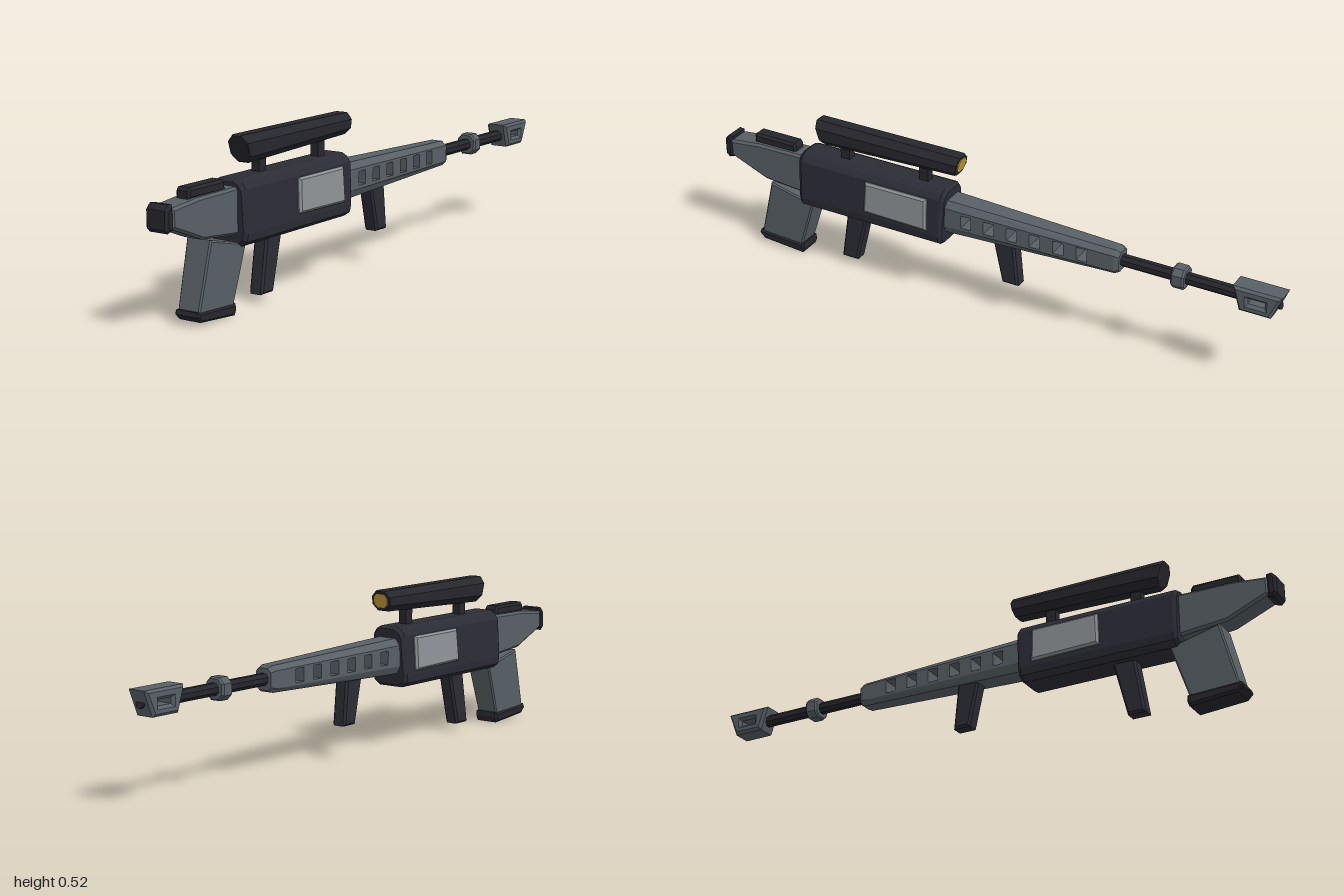
import * as THREE from 'three';

const mat = (name, color, extra = {}) => {
  const m = new THREE.MeshStandardMaterial({ color, flatShading: true, ...extra });
  m.name = name;
  return m;
};

// Side profile given as [z, y] points, extruded across x with chamfered edges.
// taper(z, y) scales the width.
function plate(points, halfWidth, bevel, { holes = [], taper } = {}) {
  const toVec = (list) => list.map(([z, y]) => new THREE.Vector2(z, y));
  const shape = new THREE.Shape(toVec(points));
  holes.forEach((h) => shape.holes.push(new THREE.Path(toVec(h))));
  const geo = new THREE.ExtrudeGeometry(shape, {
    depth: 2 * (halfWidth - bevel), bevelEnabled: bevel > 0, bevelSegments: 1,
    bevelSize: bevel, bevelThickness: bevel, bevelOffset: -bevel,
  });
  geo.translate(0, 0, -(halfWidth - bevel)).rotateY(-Math.PI / 2);
  if (taper) {
    const p = geo.attributes.position;
    for (let i = 0; i < p.count; i++) p.setX(i, p.getX(i) * taper(p.getZ(i), p.getY(i)));
    geo.computeVertexNormals();
  }
  return geo;
}

// Skin over cross-sections ordered from -z to +z, each anticlockwise seen from +z
function loft(rings) {
  const v = [];
  const tri = (a, b, c) => v.push(...a, ...b, ...c);
  const n = rings[0].length;
  for (let r = 0; r + 1 < rings.length; r++) {
    for (let i = 0; i < n; i++) {
      const j = (i + 1) % n;
      tri(rings[r][i], rings[r][j], rings[r + 1][j]);
      tri(rings[r][i], rings[r + 1][j], rings[r + 1][i]);
    }
  }
  const first = rings[0], last = rings[rings.length - 1];
  for (let i = 1; i + 1 < n; i++) {
    tri(first[0], first[i + 1], first[i]);
    tri(last[0], last[i], last[i + 1]);
  }
  const geo = new THREE.BufferGeometry();
  geo.setAttribute('position', new THREE.Float32BufferAttribute(v, 3));
  geo.computeVertexNormals();
  return geo;
}

// Symmetric cross-section from its right half, listed bottom to top as [x, y];
// z runs from zBottom to zTop so that ends can slant
function ring(half, zBottom, zTop = zBottom) {
  const y0 = half[0][1], y1 = half[half.length - 1][1];
  const at = (x, y) => [x, y, zBottom + ((zTop - zBottom) * (y - y0)) / (y1 - y0)];
  return [...half.map(([x, y]) => at(x, y)), ...[...half].reverse().map(([x, y]) => at(-x, y))];
}

const octagon = (w, y0, y1, c) => [[w - c, y0], [w, y0 + c], [w, y1 - c], [w - c, y1]];
const rect = (z0, z1, y0, y1) => [[z0, y0], [z1, y0], [z1, y1], [z0, y1]];

export function createModel() {
  const model = new THREE.Group();
  model.name = 'model';
  const body = mat('bodyDark', 0x2c2c36);
  const black = mat('trimDark', 0x26262d);
  const grey = mat('steelGrey', 0x586066);
  const light = mat('panelGrey', 0x8d9195);
  const gold = mat('lensGold', 0xc49a3a);

  const add = (name, geo, material) => {
    const mesh = new THREE.Mesh(geo, material);
    mesh.name = name;
    model.add(mesh);
    return mesh;
  };

  // Receiver with chamfered ends
  const section = [[0.045, 0.2], [0.066, 0.215], [0.07, 0.24], [0.062, 0.37], [0.05, 0.388], [0.03, 0.398]];
  const inset = section.map(([x, y]) => [x * 0.88, 0.3 + (y - 0.3) * 0.92]);
  add('receiver', loft([ring(inset, 0.145, 0.135), ring(section, 0.157, 0.147),
    ring(section, 0.675), ring(inset, 0.687)]), body);

  // Raised side panels, leaning with the receiver walls
  for (const side of [1, -1]) {
    const panel = add(side > 0 ? 'leftPanel' : 'rightPanel',
      plate([[0.195, 0.253], [0.43, 0.257], [0.425, 0.365], [0.195, 0.365]], 0.011, 0.007), light);
    panel.geometry.translate(0, -0.31, 0);
    panel.position.set(side * 0.0655, 0.31, 0);
    panel.rotation.z = side * 0.062;
  }

  // Stock, butt pad and cheek rest
  add('stock', plate([[0.67, 0.235], [0.84, 0.25], [0.975, 0.305], [0.975, 0.363], [0.86, 0.375], [0.67, 0.378]],
    0.041, 0.008), grey);
  add('buttPad', plate([[0.968, 0.3], [0.988, 0.293], [1, 0.305], [1, 0.36], [0.985, 0.376], [0.968, 0.374]],
    0.041, 0.009), black);
  add('cheekRest', plate([[0.72, 0.37], [0.885, 0.37], [0.885, 0.395], [0.878, 0.405], [0.727, 0.405], [0.72, 0.395]],
    0.026, 0.008), black);

  // Magazine and its base
  add('magazine', plate([[0.71, 0.02], [0.868, 0.035], [0.815, 0.245], [0.65, 0.205]], 0.045, 0.005,
    { taper: (z, y) => 0.86 + 0.14 * Math.min(1, y / 0.24) }), grey);
  add('magazineBase', plate([[0.705, 0.005], [0.86, 0], [0.878, 0.03], [0.873, 0.044], [0.7, 0.036], [0.698, 0.018]]
    .map(([z, y]) => [z, y < 0.006 ? (z > 0.8 ? 0.012 : 0) : y]), 0.045, 0.007), black);

  // Rear and forward grips
  add('rearGrip', plate([[0.495, 0.025], [0.555, 0.025], [0.525, 0.215], [0.448, 0.215]], 0.025, 0.007), body);
  add('frontGrip', plate([[-0.114, 0.108], [-0.056, 0.108], [-0.022, 0.26], [-0.099, 0.26]], 0.025, 0.007), body);

  // Handguard: pierced band between two tapered caps, with a chamfered nose
  const zBack = 0.15, zNose = -0.452;
  const width = (z) => 0.037 + (0.013 * (z - zNose)) / (zBack - zNose);
  const vents = [];
  for (let i = 0; i < 6; i++) {
    const z = 0.062 - i * 0.0812;
    vents.push(rect(z - 0.018, z + 0.018, 0.284, 0.328));
  }
  add('handguardBand', plate([[zNose, 0.278], [zBack, 0.272], [zBack, 0.34], [zNose, 0.332]], 1, 0,
    { holes: vents, taper: (z) => width(z) }), grey);
  const cap = (z, yA, yB, top) => {
    const w = width(z);
    return ring(top ? [[w, yA], [w - 0.017, yB]] : [[w - 0.014, yB], [w, yA]], z);
  };
  add('handguardTop', loft([cap(zNose, 0.332, 0.346, true), cap(zBack, 0.34, 0.362, true)]), grey);
  add('handguardBottom', loft([cap(zNose, 0.278, 0.264, false), cap(zBack, 0.272, 0.246, false)]), grey);
  const nose = [[0.023, 0.264], [0.037, 0.278], [0.037, 0.332], [0.02, 0.346]];
  add('handguardNose', loft([ring(nose.map(([x, y]) => [x * 0.8, 0.305 + (y - 0.305) * 0.82]), -0.467),
    ring(nose, zNose)]), grey);

  // Barrel and its collar
  const rod = (r, z0, z1) => new THREE.CylinderGeometry(r, r, z1 - z0, 8)
    .rotateY(Math.PI / 8).rotateX(Math.PI / 2).translate(0, 0.305, (z0 + z1) / 2);
  add('barrel', rod(0.02, -0.87, -0.44), black);
  add('collar', loft([[0.03, -0.684], [0.035, -0.678], [0.035, -0.646], [0.03, -0.64]]
    .map(([r, z]) => ring(octagon(r, 0.305 - r, 0.305 + r, r * 0.5), z))), grey);

  // Muzzle brake with a side slot and dark bore
  add('muzzleBrake', plate([[-0.968, 0.266], [-0.866, 0.266], [-0.842, 0.346], [-1, 0.346]], 0.038, 0.009,
    { holes: [rect(-0.947, -0.893, 0.296, 0.314)] }), grey);
  const bore = add('bore', new THREE.CylinderGeometry(0.016, 0.016, 0.006, 12), black);
  bore.position.set(0, 0.306, -0.983);
  bore.rotation.x = -Math.PI / 2 + 0.38;

  // Scope with slanted ends, mounts and lens
  const front = octagon(0.04, 0.45, 0.517, 0.02), back = octagon(0.04, 0.433, 0.518, 0.022);
  const shrink = (half, y) => half.map(([x, v]) => [x * 0.9, y + (v - y) * 0.92]);
  add('scope', loft([ring(shrink(front, 0.485), 0.11, 0.099), ring(front, 0.118, 0.105),
    ring(back, 0.605, 0.63), ring(shrink(back, 0.48), 0.612, 0.636)]), black);
  const lens = octagon(0.026, 0.462, 0.506, 0.012);
  add('scopeLens', loft([ring(lens, 0.105, 0.097), ring(lens, 0.112, 0.104)]), gold);
  for (const z of [0.532, 0.235]) {
    const mount = add('scopeMount', new THREE.BoxGeometry(0.028, 0.065, 0.034), black);
    mount.position.set(0, 0.418, z);
  }
  return model;
}
